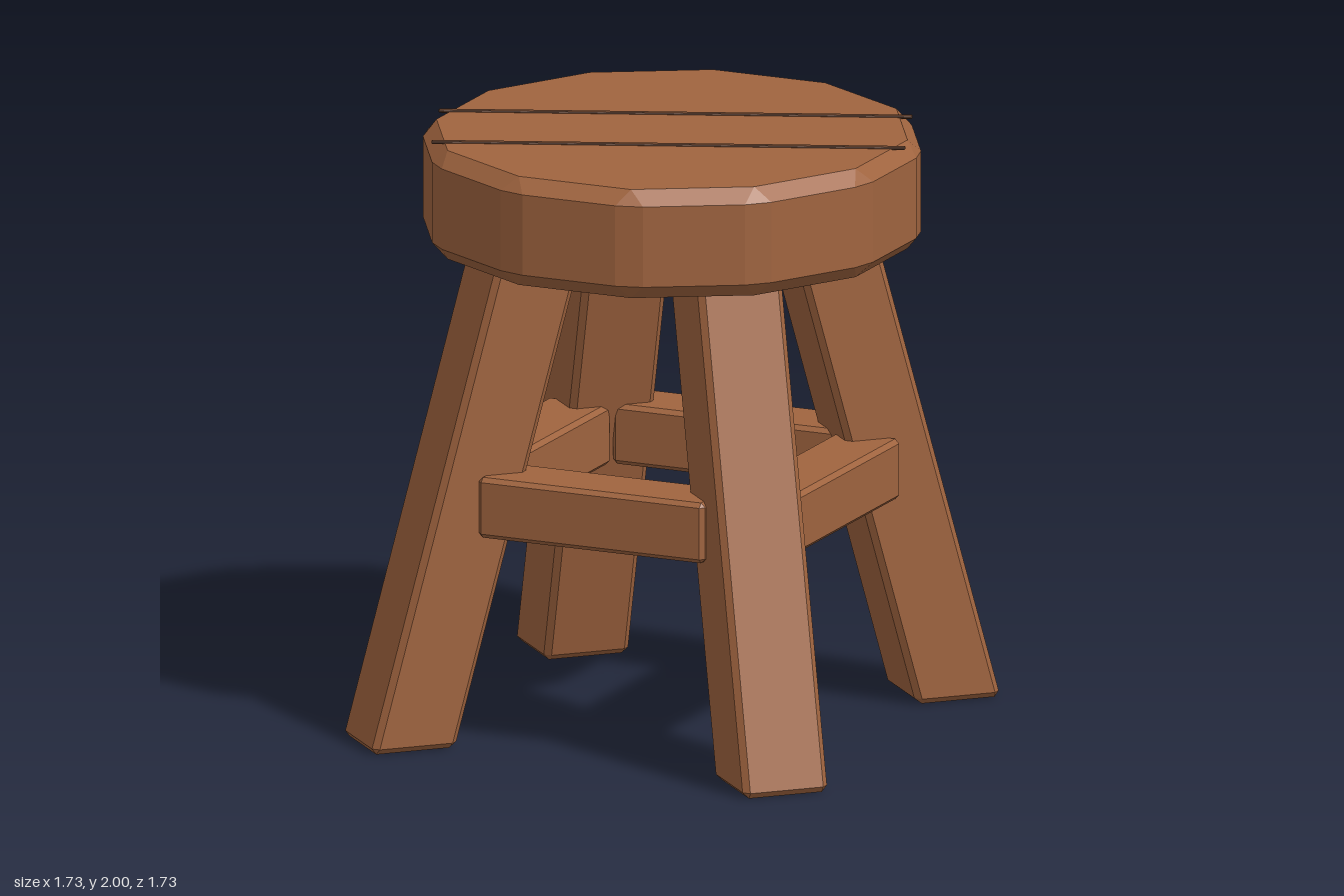
import * as THREE from 'three';
import { ConvexGeometry } from 'three/addons/geometries/ConvexGeometry.js';

// Box with every edge chamfered by c
function chamferedBox(w, h, d, c) {
  const points = [];
  for (const sx of [-1, 1]) for (const sy of [-1, 1]) for (const sz of [-1, 1]) {
    const x = w / 2, y = h / 2, z = d / 2;
    points.push(
      new THREE.Vector3(sx * x, sy * (y - c), sz * (z - c)),
      new THREE.Vector3(sx * (x - c), sy * y, sz * (z - c)),
      new THREE.Vector3(sx * (x - c), sy * (y - c), sz * z)
    );
  }
  return new ConvexGeometry(points);
}

// Twelve-sided slab with chamfered rims and corners
function seatGeometry(apothem, bottom, top, c) {
  const points = [];
  const tan = Math.tan(Math.PI / 12);
  for (let i = 0; i < 12; i++) {
    const a = i * Math.PI / 6;
    const add = (out, side, y) => points.push(new THREE.Vector3(
      out * Math.sin(a) + side * Math.cos(a), y,
      out * Math.cos(a) - side * Math.sin(a)));
    add(apothem - c, (apothem - c) * tan, top);
    add(apothem - c, (apothem - c) * tan, bottom);
    for (const s of [-1, 1]) {
      add(apothem, s * (apothem * tan - c), top - c);
      add(apothem, s * (apothem * tan - c), bottom + c);
    }
  }
  return new ConvexGeometry(points);
}

export function createModel() {
  const group = new THREE.Group();
  const wood = new THREE.MeshStandardMaterial({ color: 0xa0643f });
  wood.name = 'wood';
  const darkWood = new THREE.MeshStandardMaterial({ color: 0x69422c });
  darkWood.name = 'darkWood';

  const add = (name, geometry, material) => {
    const mesh = new THREE.Mesh(geometry, material);
    mesh.name = name;
    group.add(mesh);
    return mesh;
  };

  add('seat', seatGeometry(0.807, 1.626, 1.995, 0.048), wood);

  // Plank seams lying across the seat
  const angle = Math.atan2(0.58, 1.44);
  for (const s of [-1, 1]) {
    const seam = add('seatSeam', chamferedBox(1.56, 0.009, 0.026, 0.003), darkWood);
    seam.position.set(s * 0.074, 1.9955, s * 0.188);
    seam.rotation.y = angle;
  }

  // Legs lean outward on the diagonals, with level feet
  const legHeight = 1.64;
  const legGeometry = chamferedBox(0.295, legHeight, 0.295, 0.02);
  legGeometry.translate(0, legHeight / 2, 0);
  legGeometry.applyMatrix4(new THREE.Matrix4().set(
    1, 0, 0, 0,
    0, 1, 0, 0,
    0, -0.271, 1, 0.955,
    0, 0, 0, 1));
  legGeometry.deleteAttribute('normal');
  legGeometry.computeVertexNormals();

  // Short rails joining neighbouring legs
  const railGeometry = chamferedBox(0.82, 0.205, 0.23, 0.015);
  railGeometry.translate(0, 0.816, 0.525);

  const legNames = ['frontLeftLeg', 'backLeftLeg', 'backRightLeg', 'frontRightLeg'];
  const railNames = ['frontRail', 'leftRail', 'backRail', 'rightRail'];
  for (let i = 0; i < 4; i++) {
    add(legNames[i], legGeometry, wood).rotation.y = Math.PI / 4 + i * Math.PI / 2;
    add(railNames[i], railGeometry, wood).rotation.y = i * Math.PI / 2;
  }
  return group;
}
